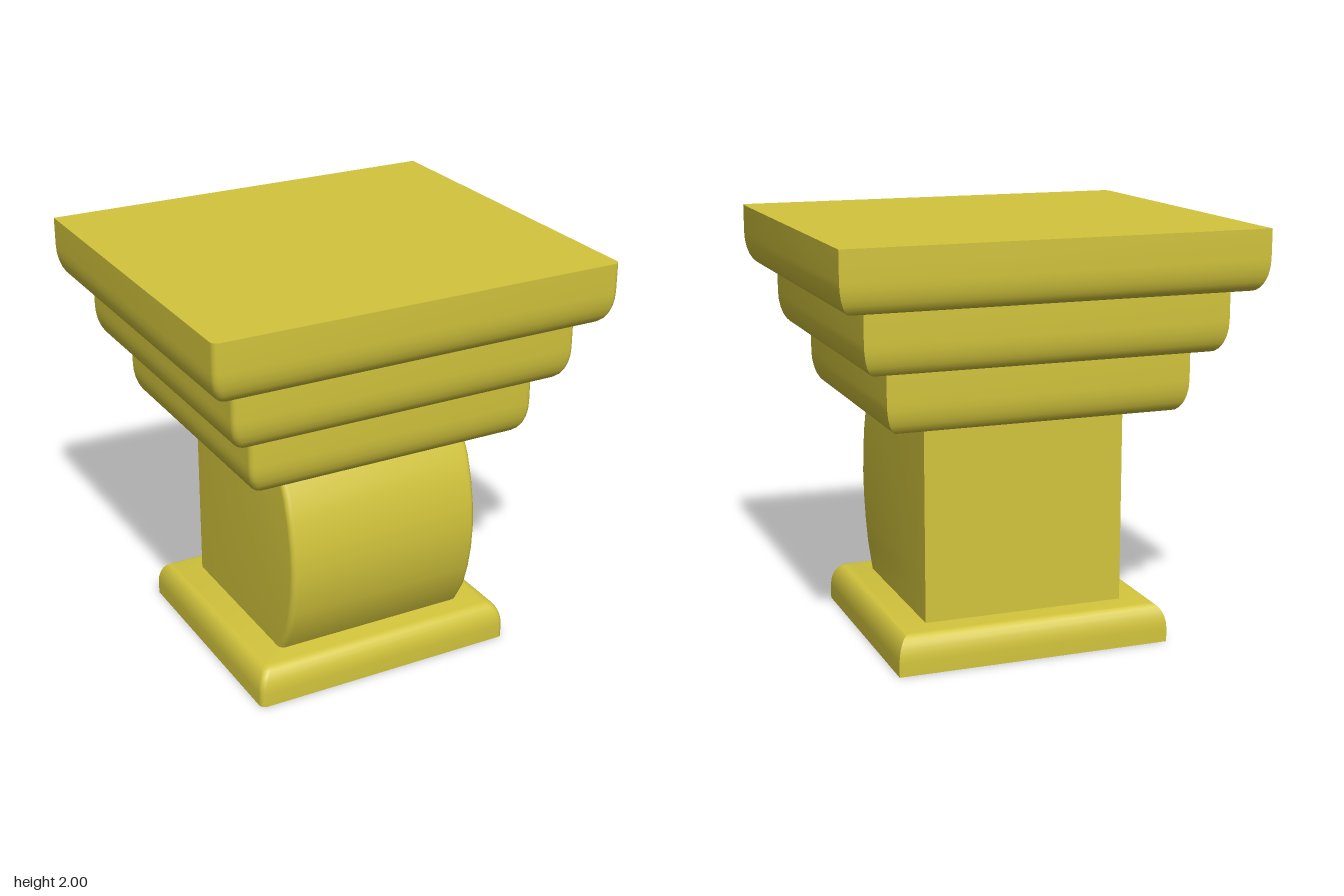
import * as THREE from 'three';
import { toCreasedNormals } from 'three/addons/utils/BufferGeometryUtils.js';

const material = new THREE.MeshStandardMaterial({ color: 0xd2c43c });

// Rectangle outline, counter-clockwise from above: sharp at the back, rounded at the front
function ring(y, hx, zBack, zFront, r) {
  const points = [[hx, y, zBack], [-hx, y, zBack]];
  for (const side of [-1, 1]) {
    for (let i = 0; i <= 4; i++) {
      const a = (side < 0 ? i : 4 - i) / 4 * Math.PI / 2;
      points.push([side * (hx - r + r * Math.cos(a)), y, zFront - r + r * Math.sin(a)]);
    }
  }
  return points;
}

// Skin a stack of rings from bottom to top and cap both ends
function loft(name, rings, crease) {
  const n = rings[0].length, index = [];
  rings.slice(1).forEach((_, j) => {
    for (let i = 0; i < n; i++) {
      const a = j * n + i, b = j * n + (i + 1) % n;
      index.push(a, b, b + n, a, b + n, a + n);
    }
  });
  const top = (rings.length - 1) * n;
  for (let i = 1; i < n - 1; i++) {
    index.push(0, i + 1, i, top, top + i, top + i + 1);
  }
  const geometry = new THREE.BufferGeometry();
  geometry.setAttribute('position', new THREE.Float32BufferAttribute(rings.flat(2), 3));
  geometry.setIndex(index);
  const mesh = new THREE.Mesh(toCreasedNormals(geometry, crease), material);
  mesh.name = name;
  return mesh;
}

// Slab with one elliptically rounded rim, at its top or bottom
function slab(name, y0, y1, hx, hz, inset, rise, roundTop) {
  const rings = [ring(roundTop ? y0 : y1, hx, -hz, hz, 0.03)];
  for (let i = 0; i <= 6; i++) {
    const a = i / 6 * Math.PI / 2;
    const d = inset * (1 - Math.cos(a)), h = rise * (1 - Math.sin(a));
    rings.push(ring(roundTop ? y1 - h : y0 + h, hx - d, -hz + d, hz - d, 0.03));
  }
  if (!roundTop) rings.reverse();
  return loft(name, rings, 0.5);
}

export function createModel() {
  const group = new THREE.Group();
  group.name = 'pedestal';

  // Foot
  group.add(slab('base', 0, 0.185, 0.668, 0.6, 0.065, 0.12, true));

  // Shaft with a faceted, bulging front
  const bulge = [[0.18, 0.44], [0.305, 0.515], [0.42, 0.552], [0.54, 0.575], [0.655, 0.583],
    [0.77, 0.575], [0.89, 0.552], [1.005, 0.515], [1.14, 0.44]];
  group.add(loft('shaft', bulge.map(([y, z]) => ring(y, 0.49, -0.44, z, 0.03)), 0.5));

  // Stepped capital, widening upward
  group.add(slab('lowerTier', 1.135, 1.43, 0.727, 0.655, 0.065, 0.15, false));
  group.add(slab('middleTier', 1.425, 1.72, 0.86, 0.775, 0.065, 0.15, false));
  group.add(slab('topTier', 1.715, 2, 0.995, 0.895, 0.065, 0.15, false));
  return group;
}
